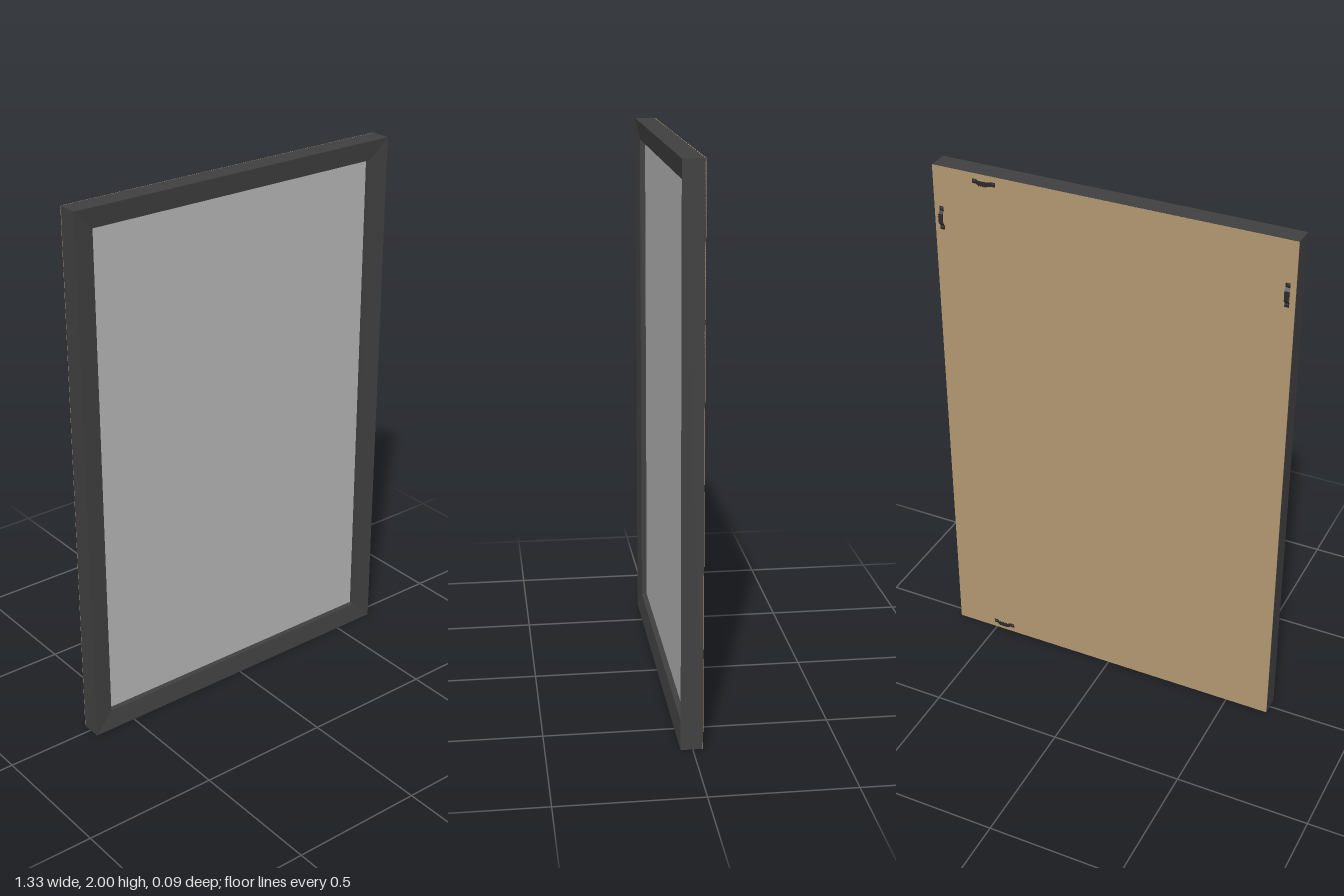
import * as THREE from 'three';

const W = 0.665, H = 2, BACK = -0.034;

const mat = (name, color) => {
  const m = new THREE.MeshStandardMaterial({ color });
  m.name = name;
  return m;
};

// Sweeps an [inset, z] profile round the rectangle with mitred corners
function mitredFrame(profile) {
  const corner = (k, [inset, z]) => {
    const x = W - inset;
    return [[-x, inset, z], [x, inset, z], [x, H - inset, z], [-x, H - inset, z]][k % 4];
  };
  const pos = [];
  for (let k = 0; k < 4; k++) {
    for (let j = 0; j < profile.length - 1; j++) {
      const a = corner(k, profile[j]), b = corner(k + 1, profile[j]);
      const c = corner(k + 1, profile[j + 1]), d = corner(k, profile[j + 1]);
      pos.push(...a, ...b, ...c, ...a, ...c, ...d);
    }
  }
  const g = new THREE.BufferGeometry();
  g.setAttribute('position', new THREE.Float32BufferAttribute(pos, 3));
  g.computeVertexNormals();
  return g;
}

export function createModel() {
  const model = new THREE.Group();
  model.name = 'pictureFrame';
  const charcoal = mat('charcoal frame', 0x404040);
  const grey = mat('grey panel', 0xb4b4b4);
  const board = mat('brown backing board', 0xb39872);
  const metal = mat('dark metal', 0x2b2b2b);

  const add = (parent, name, geometry, material, x = 0, y = 0, z = 0) => {
    const mesh = new THREE.Mesh(geometry, material);
    mesh.name = name;
    mesh.position.set(x, y, z);
    parent.add(mesh);
    return mesh;
  };

  // Moulding that slopes in towards the panel
  add(model, 'frame', mitredFrame([[0, BACK], [0, 0.042], [0.073, 0.032], [0.073, 0.005]]), charcoal);
  add(model, 'picturePanel', new THREE.BoxGeometry(2 * W - 0.142, H - 0.142, 0.008), grey, 0, 1, 0.008);
  add(model, 'backingBoard', new THREE.BoxGeometry(2 * W, H, 0.003), board, 0, 1, BACK);

  // Hanger: flat feet, raised bridge, toothed edge and two screws
  const strap = new THREE.Shape();
  const top = [[-0.044, 0.002], [-0.028, 0.002], [-0.018, 0.0105], [0.018, 0.0105], [0.028, 0.002], [0.044, 0.002]];
  top.forEach(([u, v], i) => (i ? strap.lineTo(u, v) : strap.moveTo(u, v)));
  top.reverse().forEach(([u, v]) => strap.lineTo(u, v - 0.002));
  const strapGeo = new THREE.ExtrudeGeometry(strap, { depth: 0.016, bevelEnabled: false });
  strapGeo.translate(0, 0, -0.008).rotateX(Math.PI / 2);
  const screwGeo = new THREE.CylinderGeometry(0.005, 0.007, 0.004, 12).rotateX(Math.PI / 2);
  const tooth = new THREE.Shape([[-0.003, 0], [0, -0.004], [0.003, 0]].map(p => new THREE.Vector2(...p)));
  const toothGeo = new THREE.ExtrudeGeometry(tooth, { depth: 0.002, bevelEnabled: false });

  const addHanger = (name, x, y, turn) => {
    const hanger = new THREE.Group();
    hanger.name = name;
    const bridge = add(hanger, 'bridge', strapGeo, metal);
    // Extruded profile faces outwards along local +z
    bridge.position.z = 0;
    for (const s of [-1, 1]) add(hanger, 'screw', screwGeo, metal, s * 0.036, 0, 0.004);
    for (let i = -2; i <= 2; i++) add(hanger, 'tooth', toothGeo, metal, i * 0.007, -0.008, 0.0085);
    hanger.rotation.set(0, Math.PI, turn, 'ZYX');
    hanger.position.set(x, y, BACK - 0.0015);
    model.add(hanger);
  };
  addHanger('topHanger', 0.465, 1.972, 0);
  addHanger('bottomHanger', 0.465, 0.03, Math.PI);
  addHanger('leftHanger', 0.637, 1.805, Math.PI / 2);
  addHanger('rightHanger', -0.637, 1.805, -Math.PI / 2);

  return model;
}
